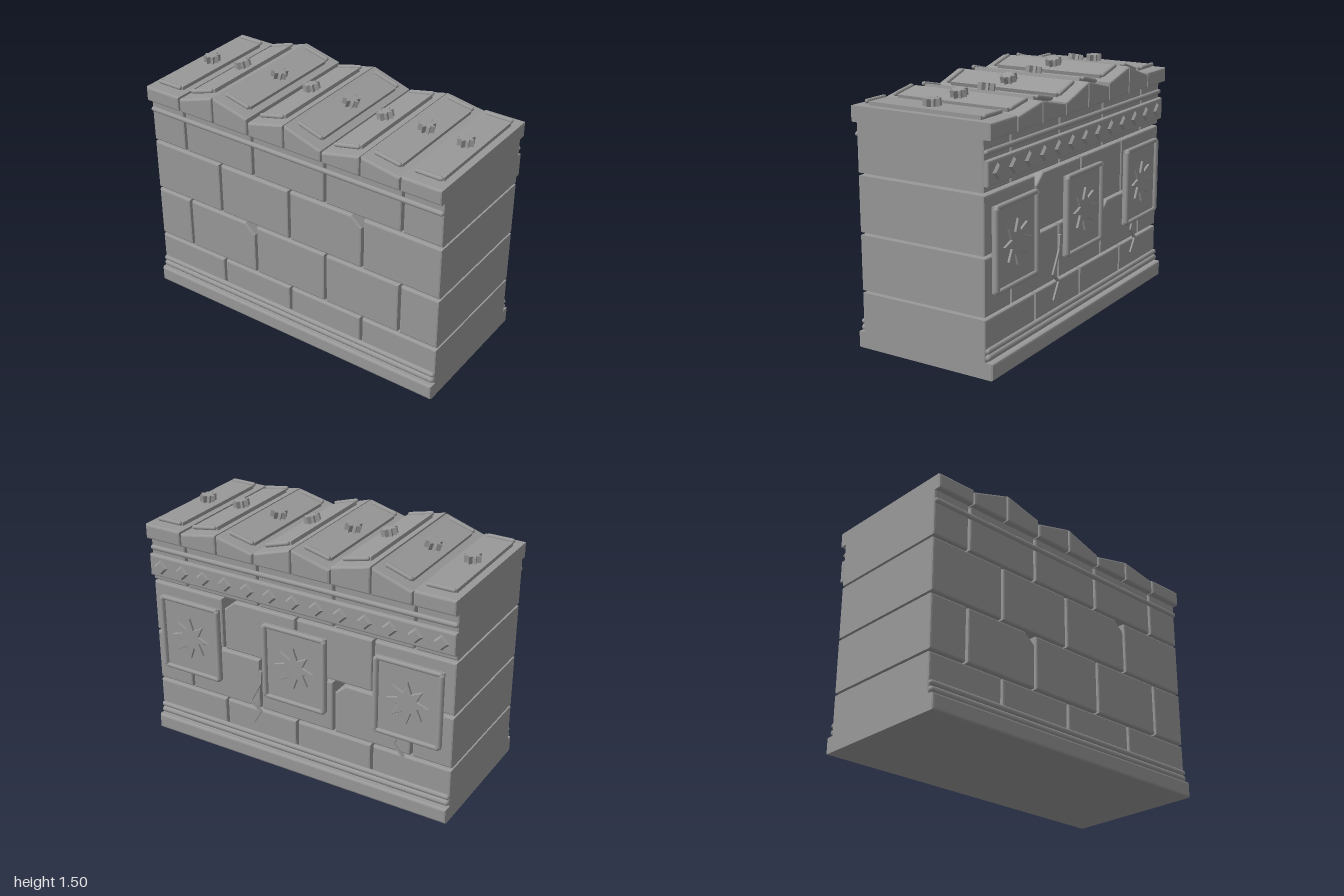
import * as THREE from 'three';

const stoneGrey = new THREE.MeshStandardMaterial({ color: 0x999999 });
stoneGrey.name = 'stone grey';

const BACK = -0.405, FRONT = 0.412;

function add(parent, name, geometry, x = 0, y = 0, z = 0) {
  const mesh = new THREE.Mesh(geometry, stoneGrey);
  mesh.name = name;
  mesh.position.set(x, y, z);
  parent.add(mesh);
  return mesh;
}

// Bevelled prism: an outline in x/y running from z0 to z1
function prism(points, z0, z1, bevel = 0.01) {
  const shape = new THREE.Shape(points.map(([x, y]) => new THREE.Vector2(x, y)));
  const geometry = new THREE.ExtrudeGeometry(shape, {
    depth: z1 - z0 - 2 * bevel, bevelEnabled: bevel > 0, bevelThickness: bevel,
    bevelSize: bevel, bevelOffset: -bevel, bevelSegments: 2,
  });
  return geometry.translate(0, 0, z0 + bevel);
}

const rect = (x0, x1, y0, y1) => [[x0, y0], [x1, y0], [x1, y1], [x0, y1]];

function starPoints(outer, inner, count = 8) {
  return Array.from({ length: count * 2 }, (_, i) => {
    const a = Math.PI / 2 + (i * Math.PI) / count, r = i % 2 ? inner : outer;
    return [r * Math.cos(a), r * Math.sin(a)];
  });
}

// Round bar with domed ends, lying along x
const bar = (length, r) =>
  new THREE.CapsuleGeometry(r, length - 2 * r, 4, 10).rotateZ(Math.PI / 2);

// Courses of blocks with open joints; two blocks have a broken corner
function buildCourses(group) {
  const even = [-1, -0.5, 0, 0.5, 1];
  const odd = [-1, -0.75, -0.25, 0.25, 0.75, 1];
  const courses = [
    { y0: 0, y1: 0.33, joints: even },
    { y0: 0.345, y1: 0.665, joints: odd, chipped: 1 },
    { y0: 0.68, y1: 1.0, joints: even, chipped: 2 },
    { y0: 1.015, y1: 1.3, joints: odd },
  ];
  courses.forEach(({ y0, y1, joints, chipped }, row) => {
    for (let i = 0; i < joints.length - 1; i++) {
      const x0 = joints[i] + (i ? 0.007 : 0);
      const x1 = joints[i + 1] - (i < joints.length - 2 ? 0.007 : 0);
      const points = rect(x0, x1, y0, y1);
      if (i === chipped) points.splice(2, 1, [x1, y1 - 0.06], [x1 - 0.07, y1]);
      add(group, `block${row + 1}_${i + 1}`, prism(points, BACK, FRONT));
    }
  });
}

// Plinth and the round mouldings on the front and back
function buildMouldings(group) {
  add(group, 'plinth', prism(rect(-1, 1, 0, 0.095), -0.45, 0.45, 0.012));
  const bars = [[0.12, 0.019], [0.157, 0.016], [1.225, 0.015]];
  for (const [y, r] of bars) {
    for (const z of [BACK - 0.005, FRONT + 0.003]) {
      add(group, 'moulding', bar(2, r), 0, y, z);
    }
  }
}

// Eight uneven coping slabs, each with a raised plate, end rolls and a star knob
function buildCoping(group) {
  const tops = [
    [1.38, 1.38], [1.37, 1.45], [1.455, 1.395], [1.375, 1.437],
    [1.437, 1.36], [1.355, 1.41], [1.412, 1.37], [1.38, 1.38],
  ];
  tops.forEach(([left, right], i) => {
    const x0 = -1 + i * 0.25, x1 = x0 + 0.25;
    const gapL = i ? 0.003 : 0, gapR = i < 7 ? 0.003 : 0;
    const outline = [[x0 + gapL, 1.29], [x1 - gapR, 1.29], [x1 - gapR, right], [x0 + gapL, left]];
    add(group, 'copingSlab', prism(outline, -0.45, 0.45, 0.011));

    const trim = new THREE.Group();
    trim.name = 'copingTrim';
    trim.position.set((x0 + x1) / 2, (left + right) / 2, 0);
    trim.rotation.z = Math.atan2(right - left, 0.25);
    group.add(trim);
    add(trim, 'raisedPlate', prism(rect(-0.083, 0.083, -0.01, 0.022), -0.36, 0.36, 0.006));
    for (const z of [-0.375, 0.375]) add(trim, 'endRoll', bar(0.17, 0.013), 0, 0.02, z);
    const knob = prism(starPoints(0.05, 0.031), 0, 0.048, 0.003).rotateX(-Math.PI / 2);
    add(trim, 'starKnob', knob, 0, 0.017, 0);
  });
}

// Frieze of diamonds across the back
function buildFrieze(group) {
  add(group, 'frieze', prism(rect(-1, 1, 1.05, 1.185), -0.432, -0.395, 0.01));
  for (let i = 0; i < 13; i++) {
    const diamond = new THREE.CylinderGeometry(0.034, 0.05, 0.016, 4).toNonIndexed();
    diamond.computeVertexNormals();
    diamond.rotateX(-Math.PI / 2);
    add(group, 'diamond', diamond, (i - 6) * 0.153, 1.117, -0.438);
  }
}

// Three framed panels with stars on the back
function buildPanels(group) {
  for (const x of [-0.73, 0, 0.73]) {
    const panel = new THREE.Group();
    panel.name = 'starPanel';
    panel.position.set(x, 0.695, 0);
    group.add(panel);
    add(panel, 'panelPlate', prism(rect(-0.205, 0.205, -0.235, 0.235), -0.426, -0.398, 0.004));
    for (const s of [-1, 1]) {
      add(panel, 'frameSide', bar(0.47, 0.017).rotateZ(Math.PI / 2), s * 0.198, 0, -0.43);
      add(panel, 'frameRail', bar(0.41, 0.014), 0, s * 0.229, -0.43);
    }
    add(panel, 'star', prism(starPoints(0.13, 0.065), -0.44, -0.42, 0.004));
  }
}

// Zigzag cracks on the back, drawn as thin flat strips
function buildCracks(group) {
  const cracks = [
    [[0.245, 0.6], [0.25, 0.52], [0.32, 0.385], [0.255, 0.325], [0.31, 0.23]],
    [[-0.665, 0.46], [-0.64, 0.4], [-0.7, 0.33], [-0.645, 0.25]],
  ];
  for (const path of cracks) {
    const w = 0.009;
    const outline = [
      ...path.map(([x, y]) => [x - w, y]),
      ...path.slice().reverse().map(([x, y]) => [x + w, y]),
    ];
    add(group, 'crack', prism(outline, -0.416, -0.4, 0));
  }
}

export function createModel() {
  const model = new THREE.Group();
  model.name = 'stoneWall';
  const parts = {
    courses: buildCourses, mouldings: buildMouldings, coping: buildCoping,
    frieze: buildFrieze, panels: buildPanels, cracks: buildCracks,
  };
  for (const [name, build] of Object.entries(parts)) {
    const group = new THREE.Group();
    group.name = name;
    build(group);
    model.add(group);
  }
  return model;
}
